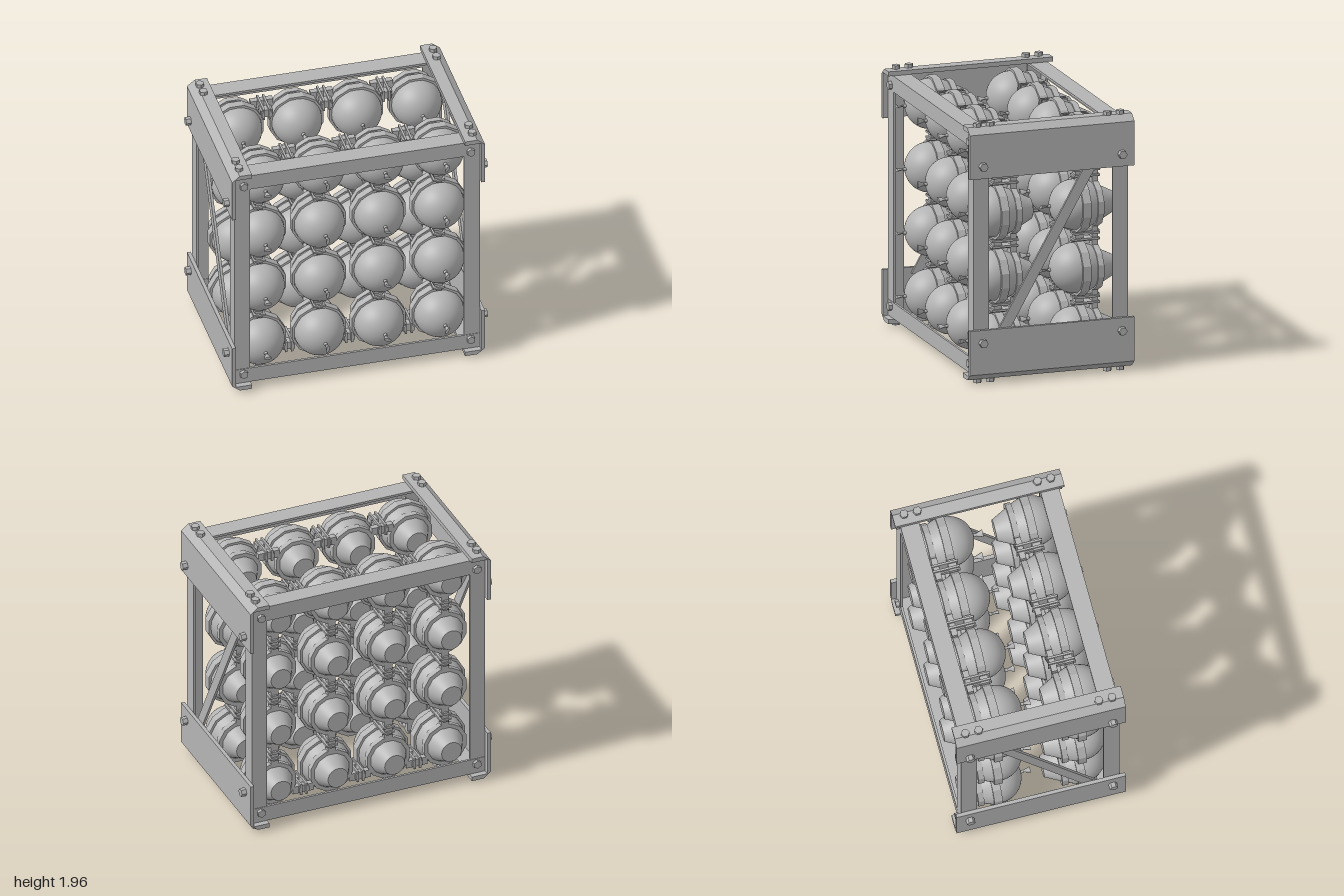
import * as THREE from 'three';
import { mergeGeometries } from 'three/addons/utils/BufferGeometryUtils.js';

const COLS = [-0.68, -0.226, 0.226, 0.68];
const ROWS = [0.273, 0.754, 1.235, 1.716];
const LAYERS = [0, -0.635]; // z offset of each layer of vessels
const MID = 0.9925; // mid height of the frame

export function createModel() {
  const root = new THREE.Group();
  const steel = new THREE.MeshStandardMaterial({ color: 0xb4b4b4 });
  steel.name = 'steel grey';

  const add = (name, geo, parent = root, x = 0, y = 0, z = 0) => {
    const m = new THREE.Mesh(geo, steel);
    m.name = name;
    m.position.set(x, y, z);
    parent.add(m);
    return m;
  };
  // box given by its limits
  const span = (x0, x1, y0, y1, z0, z1) =>
    new THREE.BoxGeometry(Math.abs(x1 - x0), Math.abs(y1 - y0), Math.abs(z1 - z0))
      .translate((x0 + x1) / 2, (y0 + y1) / 2, (z0 + z1) / 2);

  // ---------- frame ----------
  const T = 0.018;
  for (const sz of [1, -1]) {
    for (const sx of [1, -1]) {
      add('cornerPost', mergeGeometries([
        span(sx * 0.81, sx * 0.93, 0.198, 1.79, sz * (0.6 - T), sz * 0.6),
        span(sx * (0.93 - T), sx * 0.93, 0.075, 1.91, sz * 0.48, sz * (0.6 - T)),
      ]));
    }
    for (const sy of [1, -1]) {
      const y = (h) => MID + sy * h;
      add(sy > 0 ? 'topRail' : 'bottomRail', mergeGeometries([
        span(-0.93, 0.93, y(0.797), y(0.918), sz * (0.6 - T), sz * 0.6),
        span(-0.91, 0.91, y(0.918 - T), y(0.918), sz * 0.46, sz * (0.6 - T)),
      ]));
    }
  }

  // bent side plates with a chamfered corner
  for (const sx of [1, -1]) {
    for (const sy of [1, -1]) {
      const pts = [[0.958, 0.573], [0.958, 0.908], [0.9, 0.955], [0.807, 0.955],
        [0.807, 0.921], [0.93, 0.921], [0.93, 0.573]];
      const shape = new THREE.Shape(pts.map(([x, h]) => new THREE.Vector2(sx * x, MID + sy * h)));
      const geo = new THREE.ExtrudeGeometry(shape, { depth: 1.28, bevelEnabled: false });
      add('sidePlate', geo.translate(0, 0, -0.64));
    }
    // diagonal brace
    const brace = add('diagonalBrace', new THREE.BoxGeometry(0.02, 1.46, 0.08), root, sx * 0.917, MID, 0.027);
    brace.rotation.x = -Math.atan2(0.655, 1.148);
  }

  // ---------- hex bolts ----------
  const hexY = new THREE.CylinderGeometry(0.032, 0.032, 0.028, 6).toNonIndexed();
  hexY.computeVertexNormals();
  const hexX = hexY.clone().scale(1, 1.4, 1).rotateZ(Math.PI / 2);
  const hexZ = hexY.clone().rotateX(Math.PI / 2);
  for (const sx of [1, -1]) for (const sy of [1, -1]) for (const sz of [1, -1]) {
    for (const z of [0.455, 0.555]) add('plateBolt', hexY, root, sx * 0.883, MID + sy * 0.968, sz * z);
    add('sideBolt', hexX, root, sx * 0.978, MID + sy * 0.668, sz * 0.54);
    add('faceBolt', hexZ, root, sx * 0.86, MID + sy * 0.837, sz * 0.612);
  }

  // ---------- vessels ----------
  const lathe = (pts) => new THREE.LatheGeometry(pts.map(([r, z]) => new THREE.Vector2(r, z)), 40)
    .rotateX(Math.PI / 2);
  const dome = [[0.187, 0.305]];
  for (let i = 0; i <= 14; i++) {
    const a = (i / 14) * Math.PI / 2;
    dome.push([0.187 * Math.cos(a), 0.365 + 0.187 * Math.sin(a)]);
  }
  const bodyGeo = mergeGeometries([
    lathe([[0, 0.075], [0.08, 0.075]]),
    lathe([[0.08, 0.075], [0.16, 0.235]]),
    lathe([[0.16, 0.235], [0.177, 0.275], [0.187, 0.305]]),
    lathe(dome),
  ]);

  // twelve-sided clamp hoops, flat side up
  const polygon = (Kind, apothem) => {
    const r = apothem / Math.cos(Math.PI / 12);
    const pts = [];
    for (let i = 0; i < 12; i++) {
      const a = (i + 0.5) * Math.PI / 6;
      pts.push(new THREE.Vector2(r * Math.cos(a), r * Math.sin(a)));
    }
    return new Kind(pts);
  };
  const hoop = (outer, inner, z0, z1) => {
    const s = polygon(THREE.Shape, outer);
    s.holes.push(polygon(THREE.Path, inner));
    return new THREE.ExtrudeGeometry(s, { depth: z1 - z0, bevelEnabled: false }).translate(0, 0, z0);
  };
  const frontHoop = hoop(0.203, 0.184, 0.302, 0.365);
  const rearHoop = hoop(0.168, 0.138, 0.19, 0.235);

  // pinched filler stub with a flared end
  const stubGeo = mergeGeometries([
    new THREE.CylinderGeometry(0.03, 0.011, 0.05, 12).scale(1, 1, 0.4).translate(0, 0.045, 0),
    new THREE.CylinderGeometry(0.011, 0.016, 0.04, 12),
  ]).rotateX(Math.PI / 2);

  // clamp joining two neighbours: lugs on both hoops and two plates along z
  const clampGeo = (reach) => mergeGeometries([
    span(-0.03, 0.03, -0.045, 0.045, 0.302, 0.365),
    span(-0.03, 0.03, -reach, reach, 0.19, 0.235),
    ...[1, -1].flatMap((s) => [
      span(-0.045, 0.045, s * 0.014, s * 0.03, 0.18, 0.38),
      span(-0.02, 0.02, s * 0.03, s * 0.04, 0.175, 0.385),
    ]),
  ]);
  const uprightClamp = clampGeo(0.078);
  const crossClamp = clampGeo(0.085).rotateZ(Math.PI / 2);

  LAYERS.forEach((dz, l) => {
    const layer = new THREE.Group();
    layer.name = l === 0 ? 'frontLayer' : 'backLayer';
    layer.position.z = dz;
    root.add(layer);
    ROWS.forEach((y, r) => {
      COLS.forEach((x, c) => {
        const vessel = new THREE.Group();
        vessel.name = 'vessel';
        vessel.position.set(x, y, 0);
        layer.add(vessel);
        add('vesselBody', bodyGeo, vessel);
        add('frontHoop', frontHoop, vessel);
        add('rearHoop', rearHoop, vessel);
        const stub = add('fillerStub', stubGeo, vessel, 0, 0, 0.553);
        stub.rotation.z = (r * 7 + c * 5 + l * 3) * 0.9;
        if (r < 3) add('uprightClamp', uprightClamp, layer, x, y + 0.2405, 0);
        // cross clamps only tie the outermost rows
        if (c < 3 && (r === 0 || r === 3)) {
          add('crossClamp', crossClamp, layer, x + 0.226, y + (r ? 0.1 : -0.1), 0);
        }
      });
    });
    // free clamp half under the first column
    add('footClamp', mergeGeometries([
      span(-0.027, 0.027, 0.012, 0.08, 0.302, 0.365),
      span(-0.027, 0.027, 0.012, 0.11, 0.19, 0.235),
      span(-0.027, 0.027, 0.02, 0.036, 0.18, 0.38),
    ]), layer, COLS[0], 0, 0);
  });

  return root;
}
